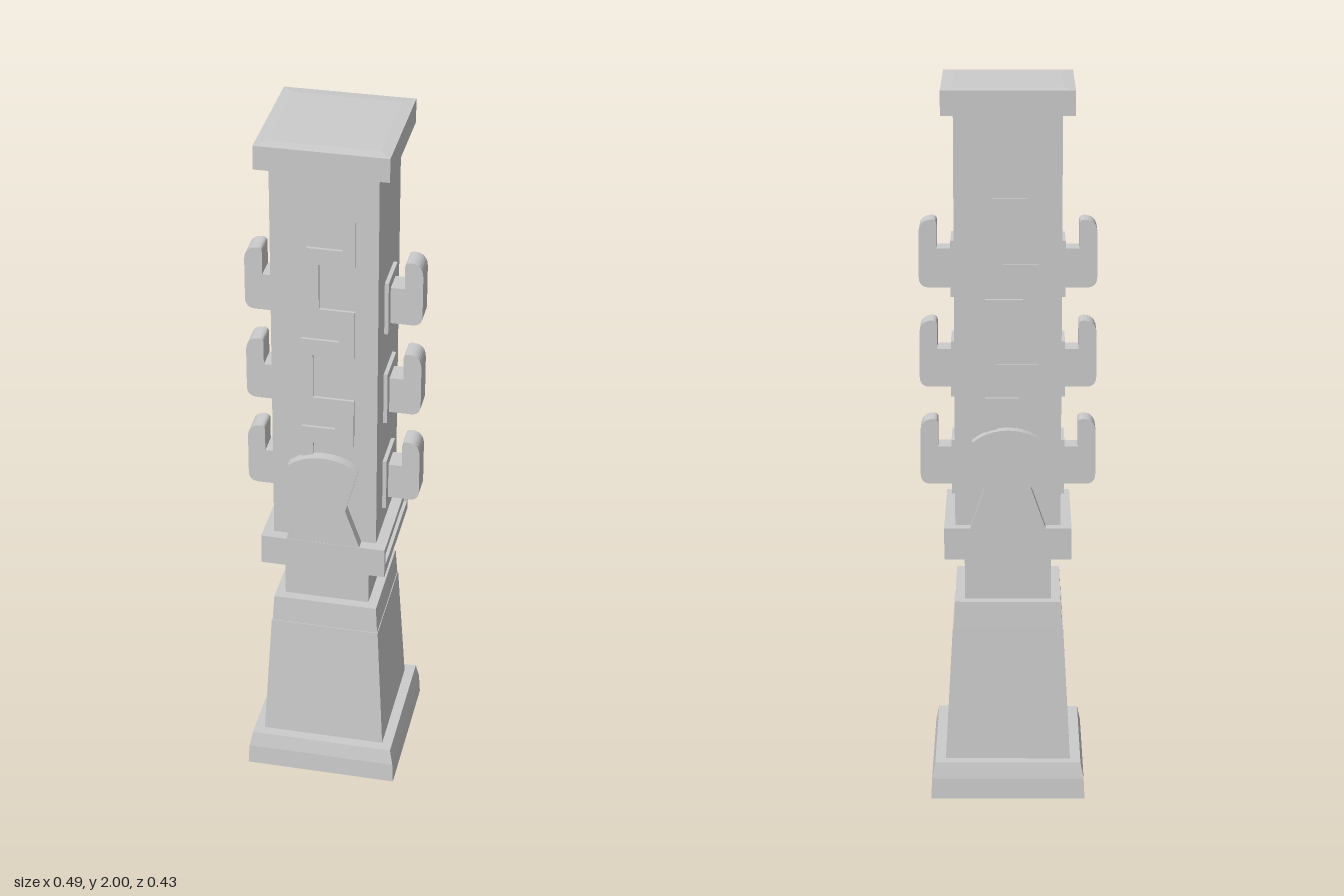
import * as THREE from 'three';

export function createModel() {
  const model = new THREE.Group();
  model.name = 'pillar';
  const flat = new THREE.MeshStandardMaterial({ color: 0xcccccc, flatShading: true });

  function add(name, geometry, parent = model) {
    const mesh = new THREE.Mesh(geometry, flat);
    mesh.name = name;
    parent.add(mesh);
    return mesh;
  }
  // Square block, possibly tapered, given by its half widths
  function block(name, y0, y1, halfBottom, halfTop = halfBottom) {
    const g = new THREE.CylinderGeometry(halfTop * Math.SQRT2, halfBottom * Math.SQRT2, y1 - y0, 4);
    g.rotateY(Math.PI / 4);
    g.translate(0, (y0 + y1) / 2, 0);
    return add(name, g);
  }
  const shapeOf = (pts) => new THREE.Shape(pts.map(([x, y]) => new THREE.Vector2(x, y)));
  function slab(shape, z0, z1) {
    const g = new THREE.ExtrudeGeometry(shape, { depth: z1 - z0, bevelEnabled: false, curveSegments: 8 });
    return g.translate(0, 0, z0);
  }

  // Stacked body
  block('baseLower', 0, 0.06, 0.216, 0.213);
  block('baseUpper', 0.06, 0.105, 0.213, 0.204);
  block('pedestal', 0.105, 0.485, 0.175, 0.154);
  block('pedestalBand', 0.485, 0.565, 0.152, 0.147);
  block('neck', 0.565, 0.70, 0.12);
  block('shaft', 0.79, 1.93, 0.145);
  block('cap', 1.93, 1.997, 0.178);
  block('capTop', 1.997, 2.0, 0.178, 0.146);

  // Collar, with a long recess on its left and right sides
  const core = new THREE.BoxGeometry(0.326, 0.09, 0.35);
  add('collarCore', core.translate(0, 0.745, 0));
  const frame = shapeOf([[-0.175, 0.70], [0.175, 0.70], [0.175, 0.79], [-0.175, 0.79]]);
  frame.holes.push(shapeOf([[-0.16, 0.73], [-0.16, 0.768], [0.16, 0.768], [0.16, 0.73]]));
  for (const side of [-1, 1]) {
    add('collarFrame', slab(frame, 0.163, 0.175)).rotation.y = side * Math.PI / 2;
  }

  // Keyhole-shaped panel rising from the collar
  const keyhole = new THREE.Shape();
  keyhole.moveTo(-0.105, 0.785);
  keyhole.lineTo(0.105, 0.785);
  keyhole.lineTo(0.063, 0.905);
  keyhole.lineTo(0.098, 1.035);
  keyhole.quadraticCurveTo(0.055, 1.07, 0, 1.07);
  keyhole.quadraticCurveTo(-0.055, 1.07, -0.098, 1.035);
  keyhole.lineTo(-0.063, 0.905);

  // Meandering band hanging from a funnel under the cap
  const meander = shapeOf([
    [-0.14, 1.93], [-0.088, 1.78], [-0.088, 1.743], [0.05, 1.743], [0.05, 1.705], [-0.045, 1.705],
    [-0.045, 1.478], [0.04, 1.478], [0.04, 1.43], [-0.062, 1.43], [-0.062, 1.195], [0.03, 1.195],
    [0.03, 1.155], [-0.062, 1.155], [-0.062, 1.05], [-0.03, 1.05], [-0.03, 1.105], [0.082, 1.105],
    [0.082, 1.25], [-0.03, 1.25], [-0.03, 1.383], [0.083, 1.383], [0.083, 1.525], [-0.013, 1.525],
    [-0.013, 1.658], [0.083, 1.658], [0.083, 1.79], [0.14, 1.93],
  ]);
  const trapezoid = shapeOf([[-0.135, 1.93], [-0.09, 1.855], [0.09, 1.855], [0.135, 1.93]]);

  for (const [name, angle] of [['frontRelief', 0], ['backRelief', Math.PI]]) {
    const relief = new THREE.Group();
    relief.name = name;
    relief.rotation.y = angle;
    add('keyholePanel', slab(keyhole, 0.14, 0.174), relief);
    add('meanderBand', slab(meander, 0.14, 0.153), relief);
    add('topTrapezoid', slab(trapezoid, 0.15, 0.157), relief);
    model.add(relief);
  }

  // Upturned hook profile: short arm and a tall rounded outer lug
  const hook = new THREE.Shape();
  hook.moveTo(0.15, 0);
  hook.lineTo(0.215, 0);
  hook.quadraticCurveTo(0.243, 0, 0.243, 0.03);
  hook.lineTo(0.243, 0.145);
  hook.quadraticCurveTo(0.243, 0.188, 0.208, 0.188);
  hook.quadraticCurveTo(0.194, 0.188, 0.194, 0.175);
  hook.lineTo(0.194, 0.108);
  hook.lineTo(0.15, 0.108);

  // Three hooks with backing plates on each side
  for (const angle of [0, Math.PI]) {
    const row = new THREE.Group();
    row.name = angle ? 'rightHooks' : 'leftHooks';
    row.rotation.y = angle;
    for (const y of [0.873, 1.154, 1.435]) {
      add('hook', slab(hook, -0.033, 0.033), row).position.y = y;
      const plate = new THREE.BoxGeometry(0.02, 0.155, 0.122);
      add('hookPlate', plate, row).position.set(0.146, y + 0.058, 0);
    }
    model.add(row);
  }
  return model;
}
